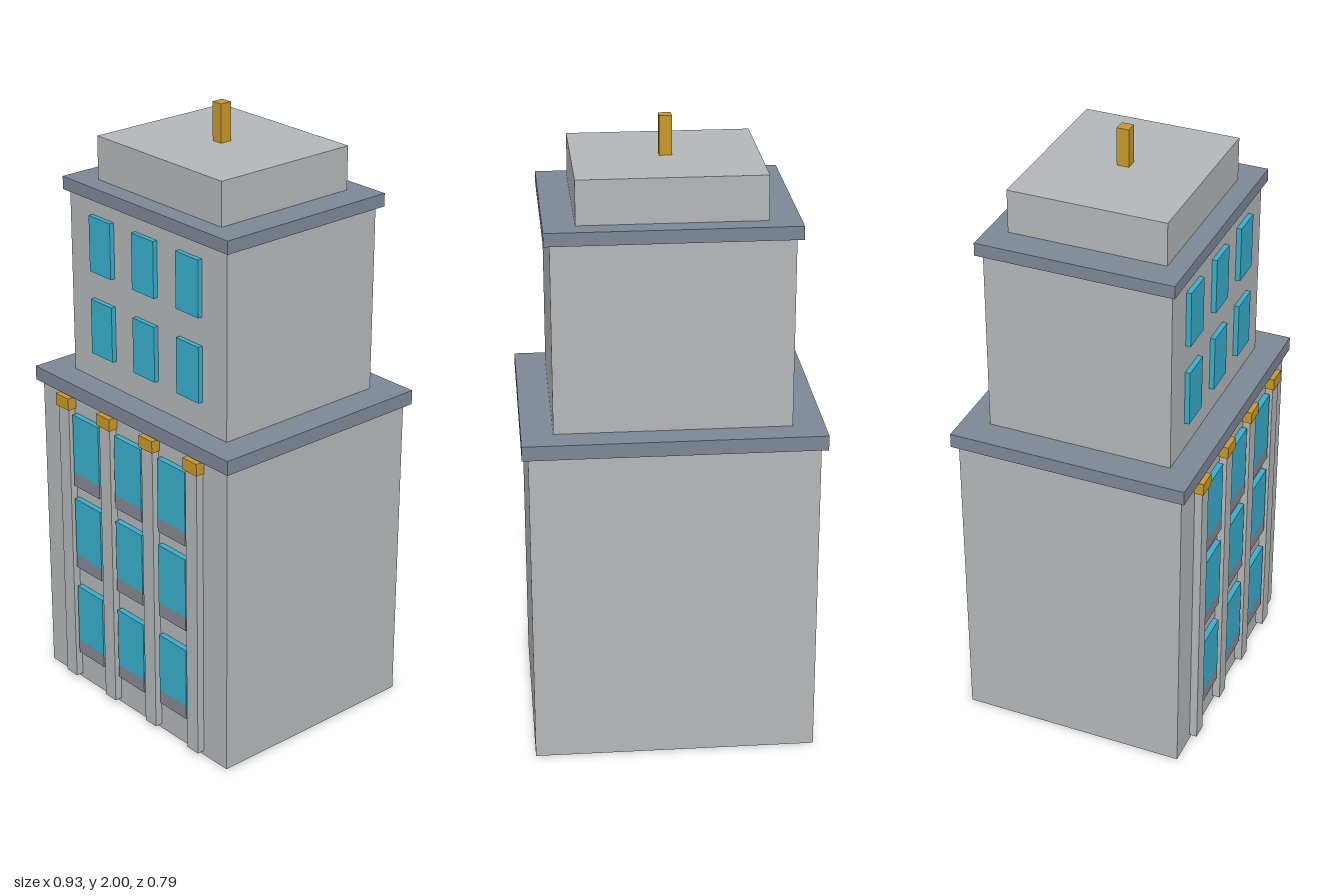
import * as THREE from 'three';

const mat = (name, color) => {
  const m = new THREE.MeshStandardMaterial({ color });
  m.name = name;
  return m;
};

export function createModel() {
  const stone = mat('stone', 0xb4b7b9);
  const slate = mat('slate', 0x7d8795);
  const sillGrey = mat('sillGrey', 0x858692);
  const gold = mat('gold', 0xc8982a);
  const glass = mat('glass', 0x38aecc);

  const model = new THREE.Group();
  model.name = 'building';

  // Box given by its x centre, width, and y and z ranges
  const box = (name, material, x, w, y0, y1, z0, z1) => {
    const mesh = new THREE.Mesh(new THREE.BoxGeometry(w, y1 - y0, z1 - z0), material);
    mesh.position.set(x, (y0 + y1) / 2, (z0 + z1) / 2);
    mesh.name = name;
    model.add(mesh);
  };

  // Stacked storeys, cornices and roof
  box('lowerBlock', stone, 0, 0.895, 0, 1.043, -0.377, 0.363);
  box('lowerCornice', slate, 0, 0.934, 1.043, 1.09, -0.395, 0.379);
  box('upperBlock', stone, 0, 0.735, 1.09, 1.695, -0.307, 0.294);
  box('upperCornice', slate, 0, 0.772, 1.695, 1.737, -0.326, 0.308);
  box('roofBlock', stone, 0, 0.576, 1.737, 1.877, -0.262, 0.245);
  box('roofMast', gold, 0, 0.039, 1.877, 2, -0.028, 0.011);

  // Pilasters with gilded capitals
  for (const x of [-0.312, -0.104, 0.104, 0.312]) {
    box('pilaster', stone, x, 0.052, 0.015, 1.0, 0.355, 0.388);
    box('capital', gold, x, 0.064, 1.0, 1.04, 0.355, 0.394);
  }

  // Lower windows, each above a grey spandrel
  for (const y of [0.11, 0.433, 0.732]) {
    for (const x of [-0.21, 0, 0.21]) {
      box('lowerWindow', glass, x, 0.13, y + 0.048, y + 0.252, 0.36, 0.382);
      box('spandrel', sillGrey, x, 0.13, y, y + 0.048, 0.36, 0.382);
    }
  }

  // Upper windows
  for (const y of [1.184, 1.46]) {
    for (const x of [-0.206, 0, 0.206]) {
      box('upperWindow', glass, x, 0.103, y, y + 0.183, 0.29, 0.31);
    }
  }

  return model;
}
